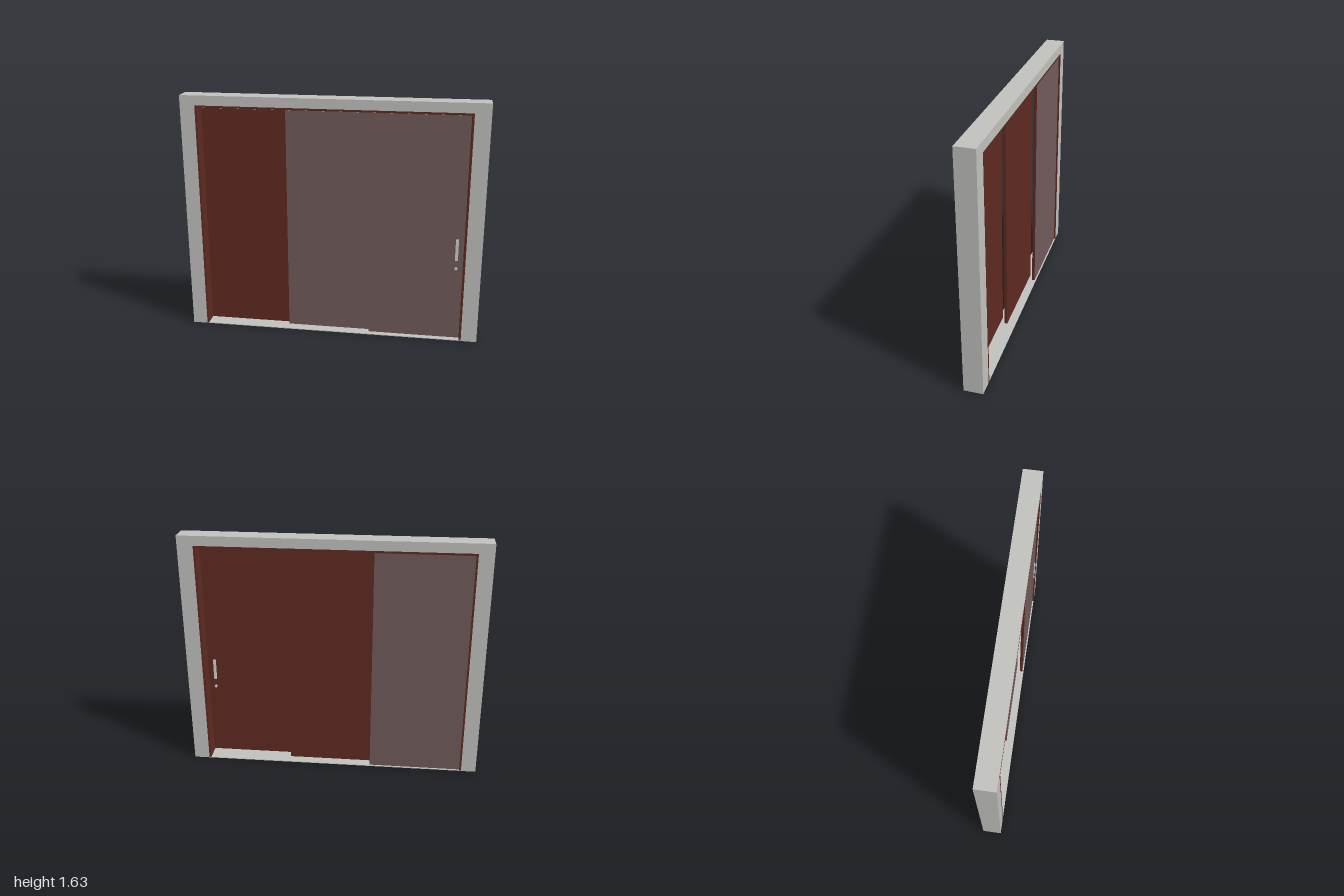
import * as THREE from 'three';

const mat = (name, color) => {
  const m = new THREE.MeshStandardMaterial({ color });
  m.name = name;
  return m;
};

export function createModel() {
  const group = new THREE.Group();
  group.name = 'slidingDoor';
  const wallGrey = mat('wallGrey', 0xc0c0bd);
  const brown = mat('redBrown', 0x5e2a20);
  const mauve = mat('mauve', 0x705b5a);
  const metal = mat('metal', 0xcfd1cb);

  // Box given by its lower and upper corners
  const box = (name, x0, x1, y0, y1, z0, z1, material, parent = group) => {
    const mesh = new THREE.Mesh(new THREE.BoxGeometry(x1 - x0, y1 - y0, z1 - z0), material);
    mesh.position.set((x0 + x1) / 2, (y0 + y1) / 2, (z0 + z1) / 2);
    mesh.name = name;
    parent.add(mesh);
    return mesh;
  };

  const D = 0.064;
  const rect = (path, x0, x1, y0, y1) => path.moveTo(x0, y0).lineTo(x1, y0).lineTo(x1, y1).lineTo(x0, y1).closePath();

  // Wall with its opening; the low strip under the opening is the sill
  const wallShape = rect(new THREE.Shape(), -1, 1, 0, 1.635);
  wallShape.holes.push(rect(new THREE.Path(), -0.9, 0.895, 0.005, 1.57));
  const wall = new THREE.Mesh(new THREE.ExtrudeGeometry(wallShape, { depth: 2 * D, bevelEnabled: false }), wallGrey);
  wall.position.z = -D;
  wall.name = 'wall';
  group.add(wall);

  // Door lining, flush with the wall faces
  const L = D + 0.001;
  box('liningRight', -0.9, -0.888, 0.003, 1.57, -L, L, brown);
  box('liningLeft', 0.882, 0.895, 0.003, 1.57, -L, L, brown);
  box('liningTop', -0.888, 0.882, 1.557, 1.57, -L, L, brown);

  // Three staggered panels: [name, x0, x1, bottom, centre z, front colour, back colour]
  const T = 0.01;
  [
    ['rearPanel', -0.888, -0.26, 0.006, -0.045, brown, mauve],
    ['middlePanel', -0.31, 0.31, 0.013, 0, mauve, brown],
    ['frontPanel', 0.26, 0.88, 0.02, 0.045, mauve, brown],
  ].forEach(([name, x0, x1, y0, z, front, back]) => {
    box(name, x0, x1, y0, 1.553, z - T, z + T, [brown, brown, brown, brown, front, back]);
    // Ceiling track above each panel
    box(name + 'Track', -0.888, 0.882, 1.555, 1.5575, z - 0.012, z + 0.012, metal);
  });

  // Pull handle and round lock on both faces of the front panel
  for (const side of [1, -1]) {
    const handle = new THREE.Group();
    handle.name = side > 0 ? 'frontHandle' : 'backHandle';
    handle.position.set(0.835, 0, 0.045 + side * T);
    if (side < 0) handle.rotation.y = Math.PI;
    box('handlePlate', -0.01, 0.01, 0.585, 0.735, 0, 0.003, metal, handle);
    box('handleGrip', -0.006, 0.006, 0.592, 0.728, 0.003, 0.008, metal, handle);
    const lock = new THREE.Mesh(new THREE.CylinderGeometry(0.01, 0.01, 0.007, 20), metal);
    lock.rotation.x = Math.PI / 2;
    lock.position.set(0, 0.53, 0.0035);
    lock.name = 'lock';
    handle.add(lock);
    group.add(handle);
  }

  return group;
}
